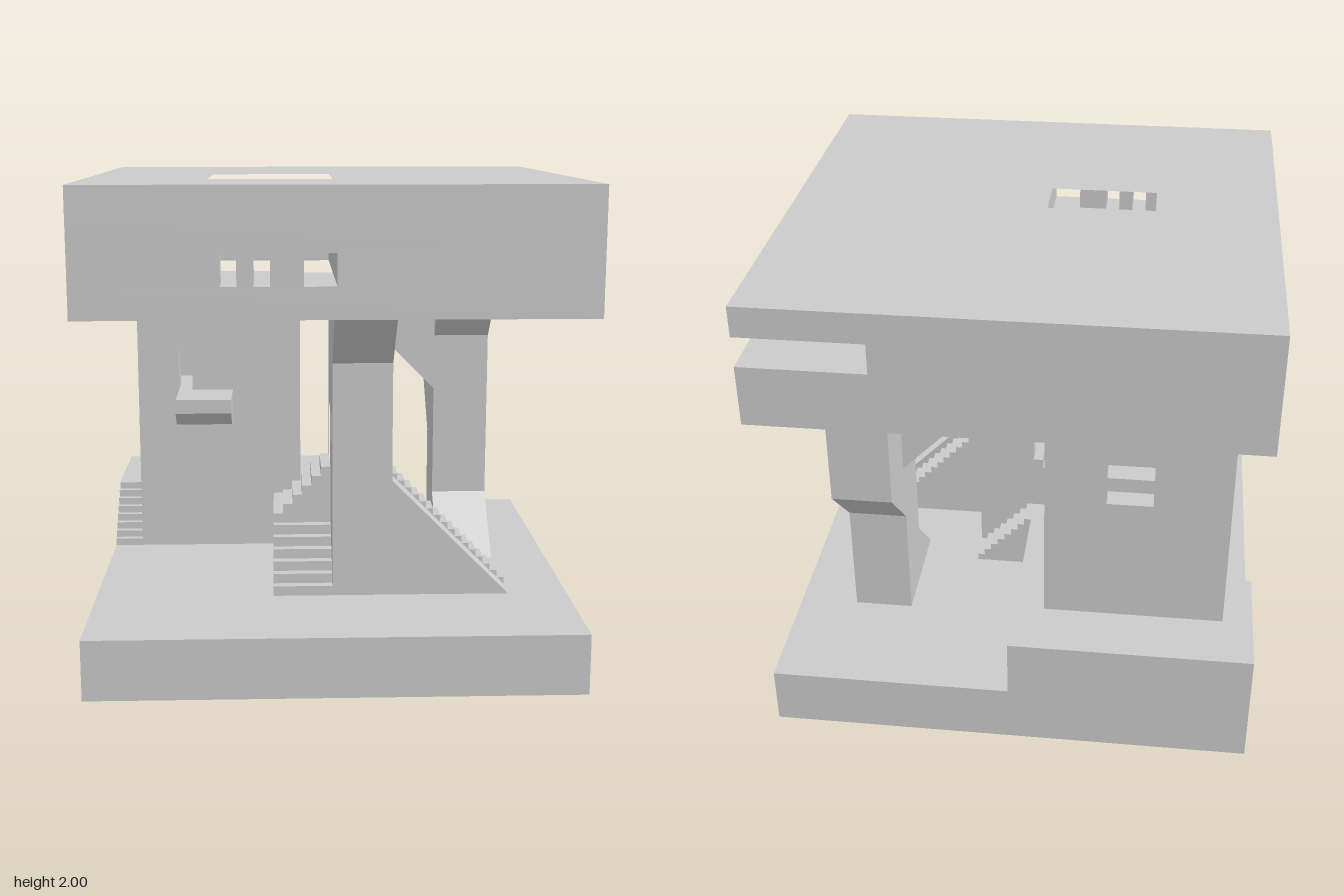
import * as THREE from 'three';

const material = new THREE.MeshStandardMaterial({ color: 0xcccccc, flatShading: true });

const rect = (u0, v0, u1, v1) => [[u0, v0], [u1, v0], [u1, v1], [u0, v1]];

// Extrude an outline with holes along one axis, from a to b.
// Outline pairs: axis 'x' uses [z, y], axis 'y' uses [x, z], axis 'z' uses [x, y].
function solid(group, name, axis, a, b, outline, holes = []) {
  const toVec = ([u, v]) => axis === 'x' ? new THREE.Vector2(-u, v)
    : axis === 'y' ? new THREE.Vector2(u, -v) : new THREE.Vector2(u, v);
  const shape = new THREE.Shape(outline.map(toVec));
  for (const h of holes) shape.holes.push(new THREE.Path(h.map(toVec)));
  const geo = new THREE.ExtrudeGeometry(shape, { depth: b - a, bevelEnabled: false });
  if (axis === 'x') geo.rotateY(Math.PI / 2).translate(a, 0, 0);
  else if (axis === 'y') geo.rotateX(-Math.PI / 2).translate(0, a, 0);
  else geo.translate(0, 0, a);
  const mesh = new THREE.Mesh(geo, material);
  mesh.name = name;
  group.add(mesh);
  return mesh;
}

// Side outline of a flight rising from (u0, y0) to (u1, y1), filled down to base.
function steps(u0, y0, u1, y1, n, base = y0) {
  const pts = [[u0, base]];
  for (let i = 0; i < n; i++) {
    const y = y0 + (y1 - y0) * (i + 1) / n;
    pts.push([u0 + (u1 - u0) * i / n, y], [u0 + (u1 - u0) * (i + 1) / n, y]);
  }
  pts.push([u1, base]);
  return pts;
}

function part(parent, name) {
  const g = new THREE.Group();
  g.name = name;
  parent.add(g);
  return g;
}

export function createModel() {
  const model = new THREE.Group();
  model.name = 'pavilion';

  // Base slab and raised terrace
  const base = part(model, 'base');
  solid(base, 'baseSlab', 'y', 0, 0.25, rect(-1, -1, 1, 1));
  solid(base, 'terrace', 'y', 0.25, 0.5,
    [[-1, -1], [0, -1], [0, 0], [-0.25, 0], [-0.25, -0.5], [-1, -0.5]]);

  // Stairs
  const stairs = part(model, 'stairs');
  solid(stairs, 'terraceStairs', 'x', -1, -0.875, steps(-0.25, 0.25, -0.5, 0.5, 8));
  solid(stairs, 'backStairs', 'z', -0.125, 0, steps(0.25, 0.25, 0, 0.5, 8));
  solid(stairs, 'lowerFlight', 'x', -0.25, 0, steps(0.5, 0.25, 0.25, 0.5, 6));
  solid(stairs, 'upperFlight', 'z', 0, 0.25, steps(-0.25, 0.5, 0, 0.75, 6, 0.25));
  solid(stairs, 'sideStairs', 'z', 0.25, 0.375, steps(0.75, 0.25, 0.25, 0.75, 16));
  solid(stairs, 'sideRamp', 'z', 0.375, 0.5, [[0.25, 0.25], [0.75, 0.25], [0.25, 0.75]]);

  // Front pier with an inner passage, in three layers
  const front = part(model, 'frontPier');
  const pier = [[0, 0.25], [0.5, 0.25], [0.5, 1.25], [0.75, 1.5], [0, 1.5]];
  solid(front, 'innerWall', 'x', 0, 0.0625, pier,
    [rect(0.0625, 0.75, 0.1875, 1), rect(0.25, 0.875, 0.375, 1)]);
  solid(front, 'passage', 'x', 0.0625, 0.1875, pier, [rect(0.0625, 0.75, 0.375, 1)]);
  solid(front, 'outerWall', 'x', 0.1875, 0.25, pier, [rect(0.25, 0.75, 0.375, 1)]);

  // Slender rear pier with angled foot, flared head and side bracket
  const rear = part(model, 'rearPier');
  solid(rear, 'shaft', 'x', 0.5, 0.75, [[-0.5, 0.25], [0, 0.25], [-0.25, 0.5], [-0.25, 1.25],
    [0, 1.5], [-0.75, 1.5], [-0.75, 1], [-0.5, 0.75]]);
  solid(rear, 'bracket', 'z', -0.5, -0.25, [[0.5, 1], [0.5, 1.5], [0, 1.5]]);

  // Large tower with a room, doors and slit windows, in layers from back to front
  const tower = part(model, 'tower');
  const wall = rect(-0.875, 0.25, -0.125, 1.5);
  const room = rect(-0.75, 1, -0.25, 1.3125);
  solid(tower, 'backWall', 'z', -0.75, -0.625, wall,
    [rect(-0.5625, 1.0625, -0.375, 1.125), rect(-0.5625, 1.1875, -0.375, 1.25)]);
  solid(tower, 'doorwayLayer', 'z', -0.625, -0.5, [[-0.875, 0.25], [-0.125, 0.25], [-0.125, 1.5],
    [-0.875, 1.5], [-0.875, 0.75], [-0.5, 0.75], [-0.5, 0.5], [-0.875, 0.5]], [room]);
  solid(tower, 'roomLayer', 'z', -0.5, -0.375, wall, [room]);
  solid(tower, 'frontWall', 'z', -0.375, -0.25, wall, [rect(-0.6875, 1, -0.625, 1.1875)]);
  solid(tower, 'balcony', 'x', -0.6875, -0.4375,
    [[-0.25, 0.875], [-0.0625, 0.875], [0, 0.9375], [0, 1], [-0.25, 1]]);

  // Roof block: light well, loggia with front windows, and corner slot
  const roof = part(model, 'roof');
  const plan = rect(-1, -1, 1, 1);
  const well = rect(-0.5, 0, 0, 0.5);
  solid(roof, 'roofFloor', 'y', 1.5, 1.625, plan, [well]);
  solid(roof, 'loggiaLayer', 'y', 1.625, 1.75,
    [[-1, -1], [1, -1], [1, 1], [0, 1], [0, 0], [-1, 0]]);
  for (const [x0, x1] of [[-1, -0.4375], [-0.375, -0.3125], [-0.25, -0.125]])
    solid(roof, 'windowPier', 'y', 1.625, 1.75, rect(x0, 0.875, x1, 1));
  solid(roof, 'slotLayer', 'y', 1.75, 1.875,
    [[-1, -1], [0.5, -1], [0.5, -0.25], [1, -0.25], [1, 1], [-1, 1]], [well]);
  solid(roof, 'roofTop', 'y', 1.875, 2, plan, [well]);

  return model;
}
